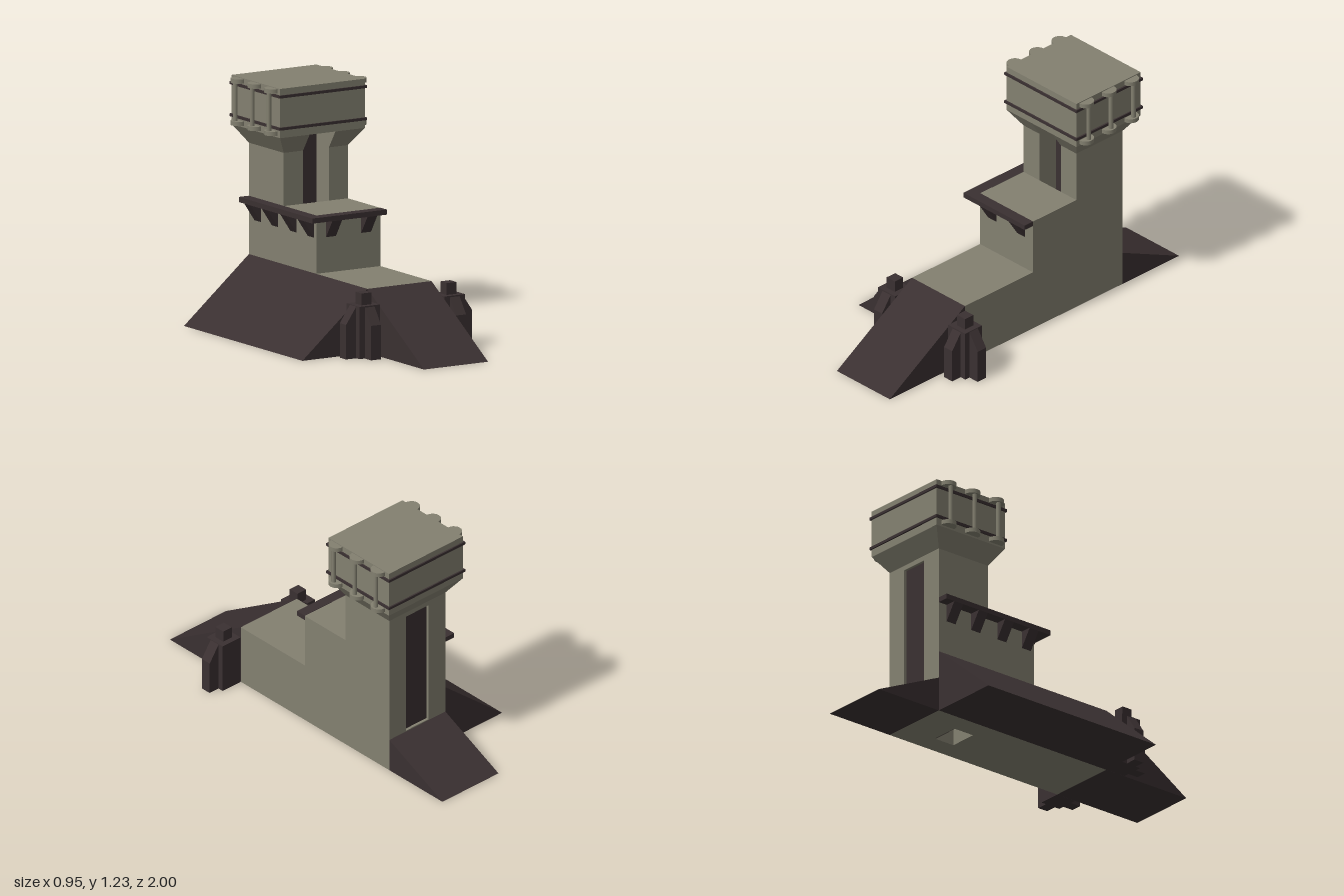
import * as THREE from 'three';

const stone = new THREE.MeshStandardMaterial({ color: 0x838070 });
stone.name = 'stone';
const dark = new THREE.MeshStandardMaterial({ color: 0x3a3031 });
dark.name = 'darkPlate';

// Block between two heights; bottom and top are [x0, x1, z0, z1] and may differ for tapers and wedges
function block(parent, name, mat, y0, y1, bottom, top = bottom) {
  const geo = new THREE.BoxGeometry(1, 1, 1).toNonIndexed();
  const p = geo.attributes.position;
  for (let i = 0; i < p.count; i++) {
    const up = p.getY(i) > 0;
    const r = up ? top : bottom;
    p.setXYZ(i, p.getX(i) < 0 ? r[0] : r[1], up ? y1 : y0, p.getZ(i) < 0 ? r[2] : r[3]);
  }
  geo.computeVertexNormals();
  const mesh = new THREE.Mesh(geo, mat);
  mesh.name = name;
  parent.add(mesh);
  return mesh;
}

function disc(parent, name, r, h, x, y, z, sides) {
  const mesh = new THREE.Mesh(new THREE.CylinderGeometry(r, r, h, sides), stone);
  mesh.name = name;
  mesh.position.set(x, y, z);
  parent.add(mesh);
}

function group(parent, name) {
  const g = new THREE.Group();
  g.name = name;
  parent.add(g);
  return g;
}

export function createModel() {
  const model = new THREE.Group();
  model.name = 'watchtower';
  const L = -0.09, R = 0.29, MID = 0.1;   // body sides and centre line
  const A = 0.025, B = 0.178;             // doorway sides
  const F = -0.29, K = -0.61;             // tower front and back
  const D = -0.41;                        // back of the front recess

  // Stepped body
  const body = group(model, 'body');
  block(body, 'lowerStep', stone, 0, 0.325, [L, R, 0.01, 0.48]);
  block(body, 'middleStep', stone, 0, 0.62, [L, R, F, 0.01]);

  // Tower shaft with an open recess in front and a shallow one behind
  const tower = group(model, 'tower');
  block(tower, 'rightColumn', stone, 0, 0.89, [L, A, K, F]);
  block(tower, 'leftColumn', stone, 0, 0.89, [B, R, K, F]);
  block(tower, 'coreWall', stone, 0, 0.89, [A, B, K + 0.02, D]);
  block(tower, 'backSill', stone, 0, 0.185, [A, B, K, K + 0.02]);
  block(tower, 'backLintel', stone, 0.865, 0.89, [A, B, K, K + 0.02]);
  block(tower, 'frontDoorPanel', dark, 0.002, 0.98, [A, B, D, D + 0.005]);
  block(tower, 'backDoorPanel', dark, 0.185, 0.865, [A, B, K + 0.015, K + 0.02]);

  // Flared collar, notched by the front recess
  const hx0 = -0.15, hx1 = 0.352, hz0 = -0.675, hz1 = -0.23;
  const collar = group(model, 'collar');
  block(collar, 'collarRight', stone, 0.89, 0.98, [L, A, K, F], [hx0, A, hz0, hz1]);
  block(collar, 'collarLeft', stone, 0.89, 0.98, [B, R, K, F], [B, hx1, hz0, hz1]);
  block(collar, 'collarBack', stone, 0.89, 0.98, [A, B, K, D], [A, B, hz0, D]);

  // Head with dark bands
  const head = group(model, 'head');
  block(head, 'headBox', stone, 0.98, 1.23, [hx0, hx1, hz0, hz1]);
  for (const y of [1.02, 1.183])
    block(head, 'band', dark, y, y + 0.014, [hx0 - 0.008, hx1 + 0.008, hz0 - 0.008, hz1 + 0.008]);

  // Side rods held between round brackets
  for (const side of [-1, 1])
    for (const z of [-0.293, -0.448, -0.603]) {
      const x = MID + side * 0.275;
      disc(head, 'rod', 0.012, 0.22, x, 1.105, z, 10);
      for (const y of [1.0, 1.215]) {
        disc(head, 'bracket', 0.042, 0.022, MID + side * 0.254, y, z, 20);
      }
    }

  // Balcony ledge along the front and right side, on wedge corbels
  const ledge = group(model, 'ledge');
  const out = -0.15, lip = 0.068;
  block(ledge, 'frontLedge', dark, 0.595, 0.621, [out, R, 0.01, lip]);
  block(ledge, 'sideLedge', dark, 0.595, 0.621, [out, L, K, 0.01]);
  for (const x of [-0.003, 0.205])
    block(ledge, 'frontCorbel', dark, 0.505, 0.595,
      [x - 0.029, x + 0.029, 0.01, 0.01], [x - 0.029, x + 0.029, 0.01, lip]);
  for (const z of [-0.53, -0.37, -0.2, -0.04])
    block(ledge, 'sideCorbel', dark, 0.505, 0.595,
      [L, L, z - 0.029, z + 0.029], [out, L, z - 0.029, z + 0.029]);

  // Sloped aprons
  const aprons = group(model, 'aprons');
  block(aprons, 'frontRamp', dark, 0, 0.325, [L, R, 0.48, 1], [L, R, 0.48, 0.48]);
  block(aprons, 'backRamp', dark, 0, 0.18, [L, R, -1, K], [L, R, K, K]);
  block(aprons, 'sideSlope', dark, 0, 0.325, [-0.475, L, K, 0.48], [L, L, K, 0.48]);

  // Buttressed posts either side of the front ramp
  for (const side of [-1, 1]) {
    const post = group(model, side < 0 ? 'rightPost' : 'leftPost');
    const c = MID + side * 0.252, z = 0.539, w = 0.029;
    block(post, 'postCore', dark, 0, 0.265, [c - 0.061, c + 0.061, 0.48, 0.597]);
    block(post, 'postCap', dark, 0.265, 0.325, [c - w, c + w, z - w, z + w]);
    const front = [c - w, c + w, 0.597, 0.656];
    block(post, 'frontFin', dark, 0, 0.175, front);
    block(post, 'frontFinSlope', dark, 0.175, 0.258, front, [c - w, c + w, 0.597, 0.597]);
    const e = c + side * 0.061, o = c + side * 0.121;
    const x0 = Math.min(e, o), x1 = Math.max(e, o);
    block(post, 'sideFin', dark, 0, 0.175, [x0, x1, z - w, z + w]);
    block(post, 'sideFinSlope', dark, 0.175, 0.262, [x0, x1, z - w, z + w], [e, e, z - w, z + w]);
  }
  return model;
}
